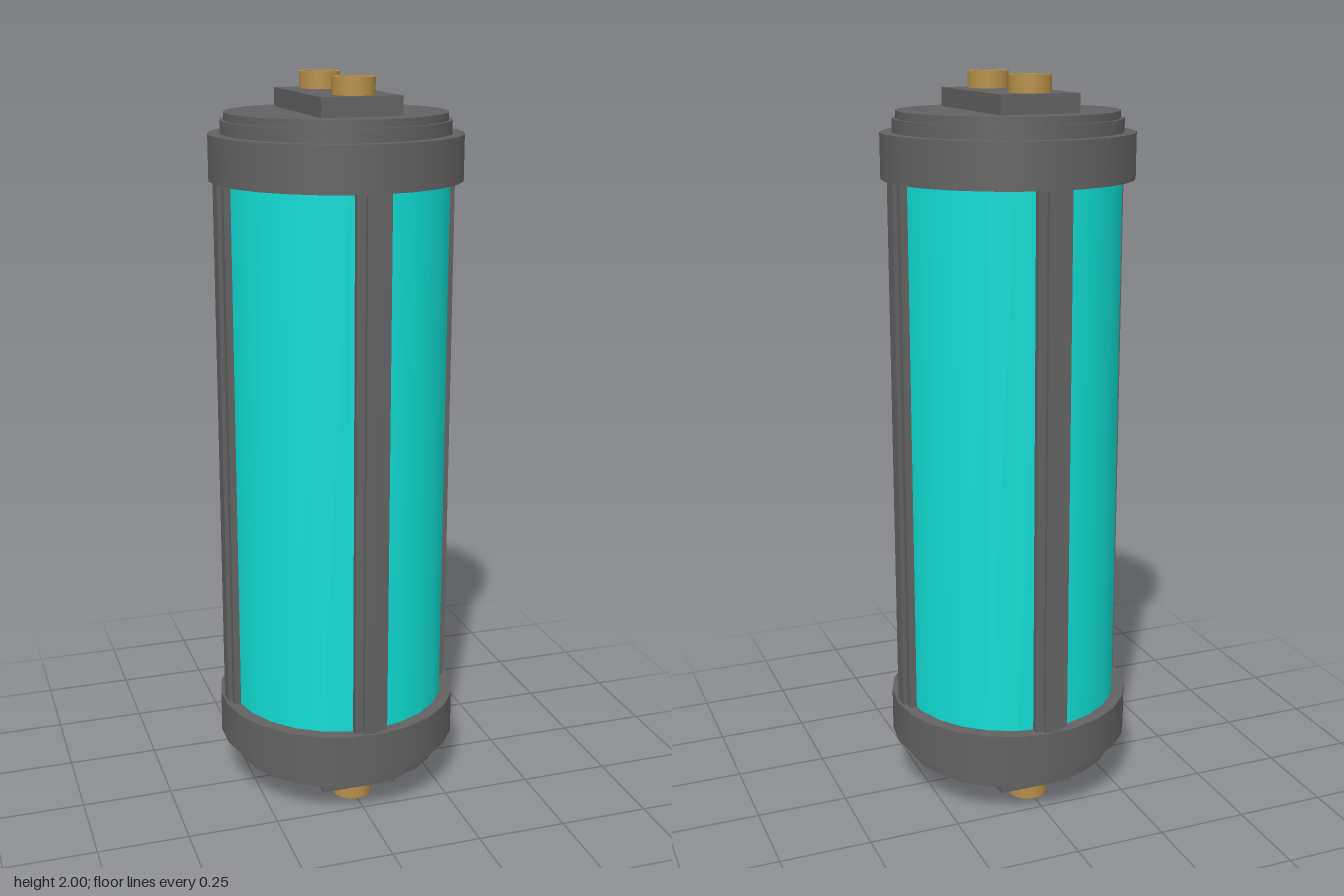
import * as THREE from 'three';

const SIDES = 25;

export function createModel() {
  const model = new THREE.Group();
  model.name = 'cylinderTank';

  const material = (name, color, side = THREE.FrontSide) => {
    const m = new THREE.MeshStandardMaterial({ color, side });
    m.name = name;
    return m;
  };
  const grey = material('darkGrey', 0x626262);
  const teal = material('teal', 0x10dcd4);
  const brass = material('brass', 0xb58e48, THREE.DoubleSide);
  const black = material('black', 0x0c0c0c);

  const add = (parent, name, geometry, mat, x = 0, y = 0, z = 0) => {
    const mesh = new THREE.Mesh(geometry, mat);
    mesh.name = name;
    mesh.position.set(x, y, z);
    parent.add(mesh);
    return mesh;
  };
  // Upright drum between two heights, with a corner on +x
  const drum = (parent, name, radius, y0, y1, mat) =>
    add(parent, name, new THREE.CylinderGeometry(radius, radius, y1 - y0, SIDES, 1, false, Math.PI / 2),
      mat, 0, (y0 + y1) / 2, 0);

  // Main coloured tube
  drum(model, 'tube', 0.302, 0.2, 1.8, teal);

  // Four stepped rails along the tube
  for (let i = 0; i < 4; i++) {
    const rail = new THREE.Group();
    rail.name = 'rail';
    add(rail, 'railBase', new THREE.BoxGeometry(0.092, 1.5, 0.04), grey, 0, 1, 0.296);
    add(rail, 'railRidge', new THREE.BoxGeometry(0.046, 1.5, 0.05), grey, 0, 1, 0.303);
    rail.rotation.y = i * Math.PI / 2;
    model.add(rail);
  }

  // Hollow brass nozzle with a dark bore, standing on y = 0
  const createNozzle = () => {
    const nozzle = new THREE.Group();
    nozzle.name = 'nozzle';
    const h = 0.045;
    for (const [name, r] of [['nozzleOuter', 0.055], ['nozzleInner', 0.04]]) {
      add(nozzle, name, new THREE.CylinderGeometry(r, r, h, 32, 1, true), brass, 0, h / 2, 0);
    }
    add(nozzle, 'nozzleRim', new THREE.RingGeometry(0.04, 0.055, 32), brass, 0, h, 0).rotation.x = -Math.PI / 2;
    add(nozzle, 'nozzleBore', new THREE.CircleGeometry(0.04, 32), black, 0, 0.002, 0).rotation.x = -Math.PI / 2;
    return nozzle;
  };

  // End cap, measured from the middle of the tank; the lower one is turned over
  const createCap = (name) => {
    const cap = new THREE.Group();
    cap.name = name;
    drum(cap, 'collar', 0.337, 0.73, 0.85, grey);
    drum(cap, 'lowerStep', 0.305, 0.84, 0.885, grey);
    drum(cap, 'upperStep', 0.295, 0.88, 0.905, grey);
    add(cap, 'mountPlate', new THREE.BoxGeometry(0.215, 0.06, 0.43), grey, 0, 0.925, 0);
    for (const z of [-0.145, 0.145]) {
      const nozzle = createNozzle();
      nozzle.position.set(0, 0.955, z);
      cap.add(nozzle);
    }
    cap.position.y = 1;
    model.add(cap);
    return cap;
  };
  createCap('topCap');
  createCap('bottomCap').rotation.x = Math.PI;

  return model;
}
